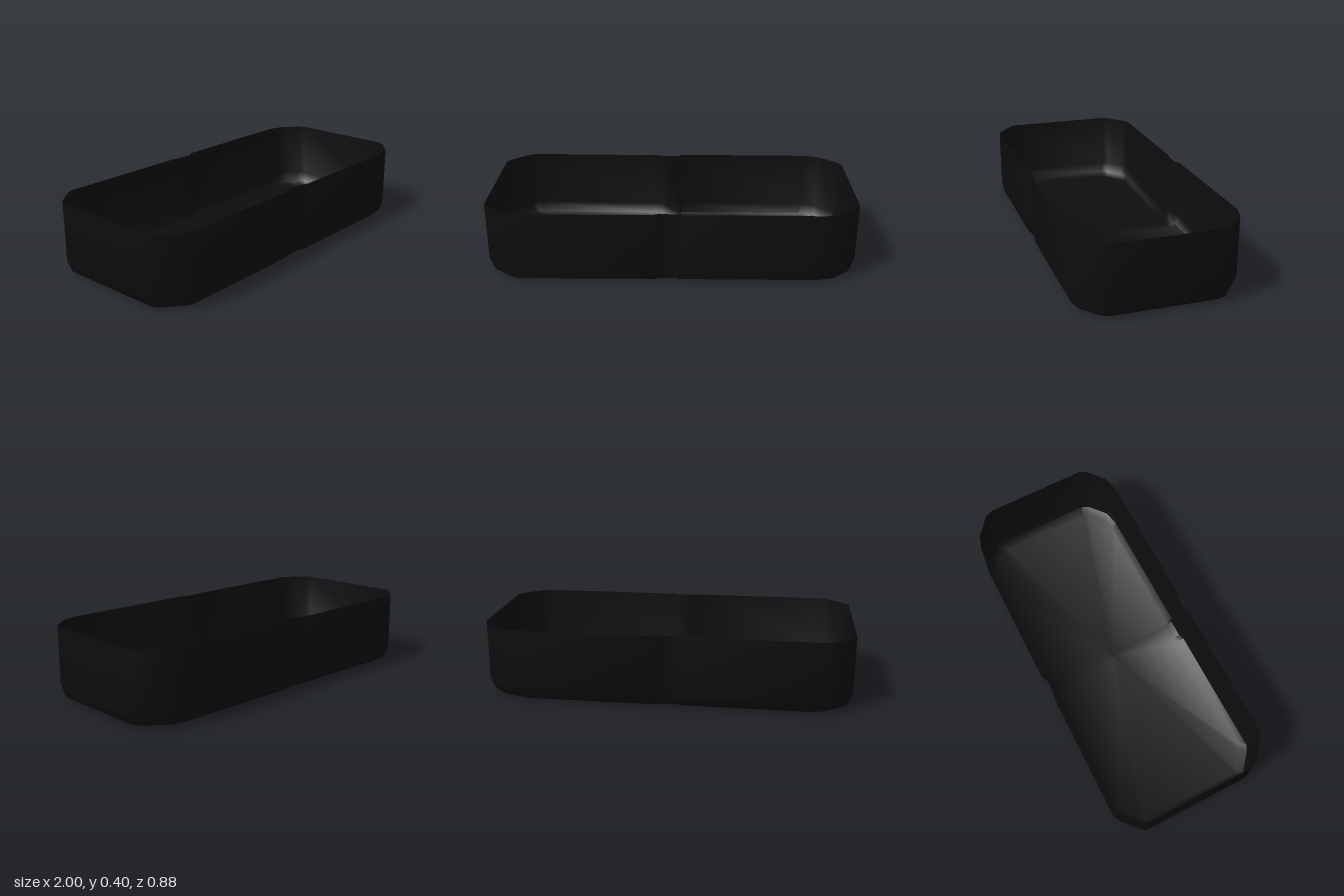
import * as THREE from 'three';
import { toCreasedNormals } from 'three/addons/utils/BufferGeometryUtils.js';

// Rim outline (x, z): along the back to the right, then back along the front
const OUTLINE = [
  [-1, -0.31], [-0.98, -0.34], [-0.89, -0.415], [-0.85, -0.437], [-0.1, -0.43], [-0.07, -0.42],
  [0.03, -0.42], [0.05, -0.438], [0.8, -0.435], [0.88, -0.41], [0.98, -0.325], [1, -0.28],
  [1, 0.29], [0.98, 0.33], [0.885, 0.41], [0.8, 0.43], [0.05, 0.432], [0.03, 0.42],
  [-0.07, 0.42], [-0.1, 0.432], [-0.85, 0.437], [-0.89, 0.415], [-0.98, 0.34], [-1, 0.31],
];

// Wall levels: height, then the x, back z and front z scale of the outline
const LEVELS = [
  [0.4, 1, 1, 1],
  [0.08, 1, 1, 1],
  [0.02, 0.98, 0.965, 0.985],
  [0, 0.93, 0.89, 0.91],
];

function trayGeometry() {
  const n = OUTLINE.length, positions = [], index = [];
  for (const [y, sx, back, front] of LEVELS) {
    for (const [x, z] of OUTLINE) positions.push(x * sx, y, z * (z < 0 ? back : front));
  }
  const centre = positions.length / 3;
  positions.push(0, 0, 0);
  for (let i = 0; i < n; i++) {
    const j = (i + 1) % n;
    // Walls and bevelled lower edge
    for (let r = 0; r < LEVELS.length - 1; r++) {
      const top = r * n, low = top + n;
      index.push(low + i, top + i, low + j, low + j, top + i, top + j);
    }
    // Floor
    index.push(centre, centre - n + i, centre - n + j);
  }
  const geometry = new THREE.BufferGeometry();
  geometry.setAttribute('position', new THREE.Float32BufferAttribute(positions, 3));
  geometry.setIndex(index);
  return toCreasedNormals(geometry, 0.9);
}

export function createModel() {
  const group = new THREE.Group();
  group.name = 'openTray';
  const black = new THREE.MeshStandardMaterial({ color: 0x0d0d0d, side: THREE.DoubleSide });
  black.name = 'black';
  const tray = new THREE.Mesh(trayGeometry(), black);
  tray.name = 'trayShell';
  group.add(tray);
  return group;
}
